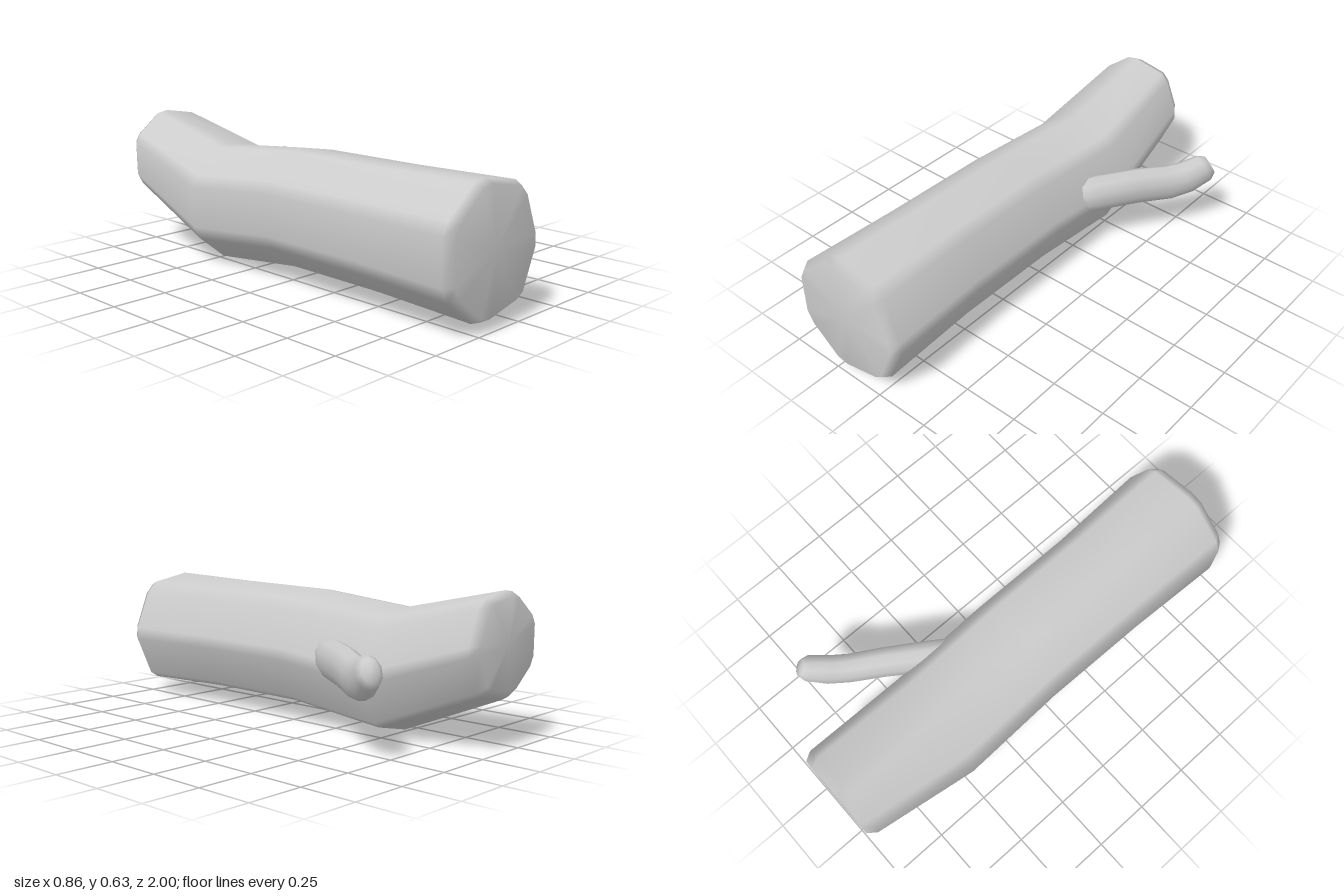
import * as THREE from 'three';

const material = new THREE.MeshStandardMaterial({ color: 0xcccccc });

// Skin a list of rings (clockwise when looking along the path) and close both ends
function loft(name, rings) {
  const n = rings[0].length, last = rings.length - 1;
  const points = rings.flat();
  const middle = (ring) => ring.reduce((s, p) => s.add(p), new THREE.Vector3()).divideScalar(n);
  points.push(middle(rings[0]), middle(rings[last]));
  const index = [];
  for (let j = 0; j < n; j++) {
    const k = (j + 1) % n;
    for (let i = 0; i < last; i++) {
      const a = i * n + j, b = i * n + k;
      index.push(a, b, a + n, b, b + n, a + n);
    }
    index.push(points.length - 2, k, j, points.length - 1, last * n + j, last * n + k);
  }
  const geometry = new THREE.BufferGeometry().setFromPoints(points);
  geometry.setIndex(index);
  geometry.computeVertexNormals();
  const mesh = new THREE.Mesh(geometry, material);
  mesh.name = name;
  return mesh;
}

// Trunk: seven-cornered log with chamfered corners, kinked upwards at the back
function trunk() {
  const profile = [
    [-0.275, 0.098], [-0.246, 0.153], [-0.1, 0.268], [-0.038, 0.2775], [0.154, 0.243],
    [0.199, 0.198], [0.272, 0.023], [0.275, -0.032], [0.194, -0.212], [0.154, -0.237],
    [-0.036, -0.2775], [-0.096, -0.268], [-0.241, -0.153], [-0.273, -0.093],
  ];
  // z, centre x, centre y, scale x, scale y
  const sections = [
    [1, -0.154, 0.315, 0.9, 0.93],
    [0.96, -0.154, 0.3125, 1, 1],
    [0.5, -0.155, 0.315, 0.93, 0.955],
    [0, -0.15, 0.3125, 0.92, 0.945],
    [-0.48, -0.155, 0.266, 0.93, 0.955],
    [-0.96, -0.155, 0.418, 0.785, 0.785],
    [-1, -0.155, 0.427, 0.69, 0.68],
  ];
  return loft('trunk', sections.map(([z, cx, cy, sx, sy]) =>
    profile.map(([x, y]) => new THREE.Vector3(cx + x * sx, cy + y * sy, z))));
}

// Branch: short stub angled backwards, dipping and then curling up at its tip
function branch() {
  // centre, upward pitch, half width, half height
  const sections = [
    [0.0, 0.317, -0.18, 0, 0.06, 0.085],
    [0.08, 0.317, -0.305, 0, 0.067, 0.088],
    [0.193, 0.317, -0.474, -0.05, 0.062, 0.088],
    [0.275, 0.304, -0.6, 0.15, 0.06, 0.088],
    [0.325, 0.317, -0.672, 0.4, 0.06, 0.085],
    [0.378, 0.357, -0.742, 0.5, 0.055, 0.072],
    [0.395, 0.37, -0.765, 0.5, 0.036, 0.048],
  ];
  const sides = 10;
  return loft('branch', sections.map(([x, y, z, pitch, w, h]) => {
    const forward = new THREE.Vector3(0.56, 0, -0.83).normalize();
    const right = new THREE.Vector3().crossVectors(forward, new THREE.Vector3(0, 1, 0));
    const up = new THREE.Vector3(0, 1, 0).applyAxisAngle(right, pitch);
    return Array.from({ length: sides }, (_, j) => {
      const a = (j / sides) * Math.PI * 2;
      return new THREE.Vector3(x, y, z)
        .addScaledVector(up, Math.cos(a) * h)
        .addScaledVector(right, Math.sin(a) * w);
    });
  }));
}

export function createModel() {
  const group = new THREE.Group();
  group.name = 'log';
  group.add(trunk(), branch());
  return group;
}
